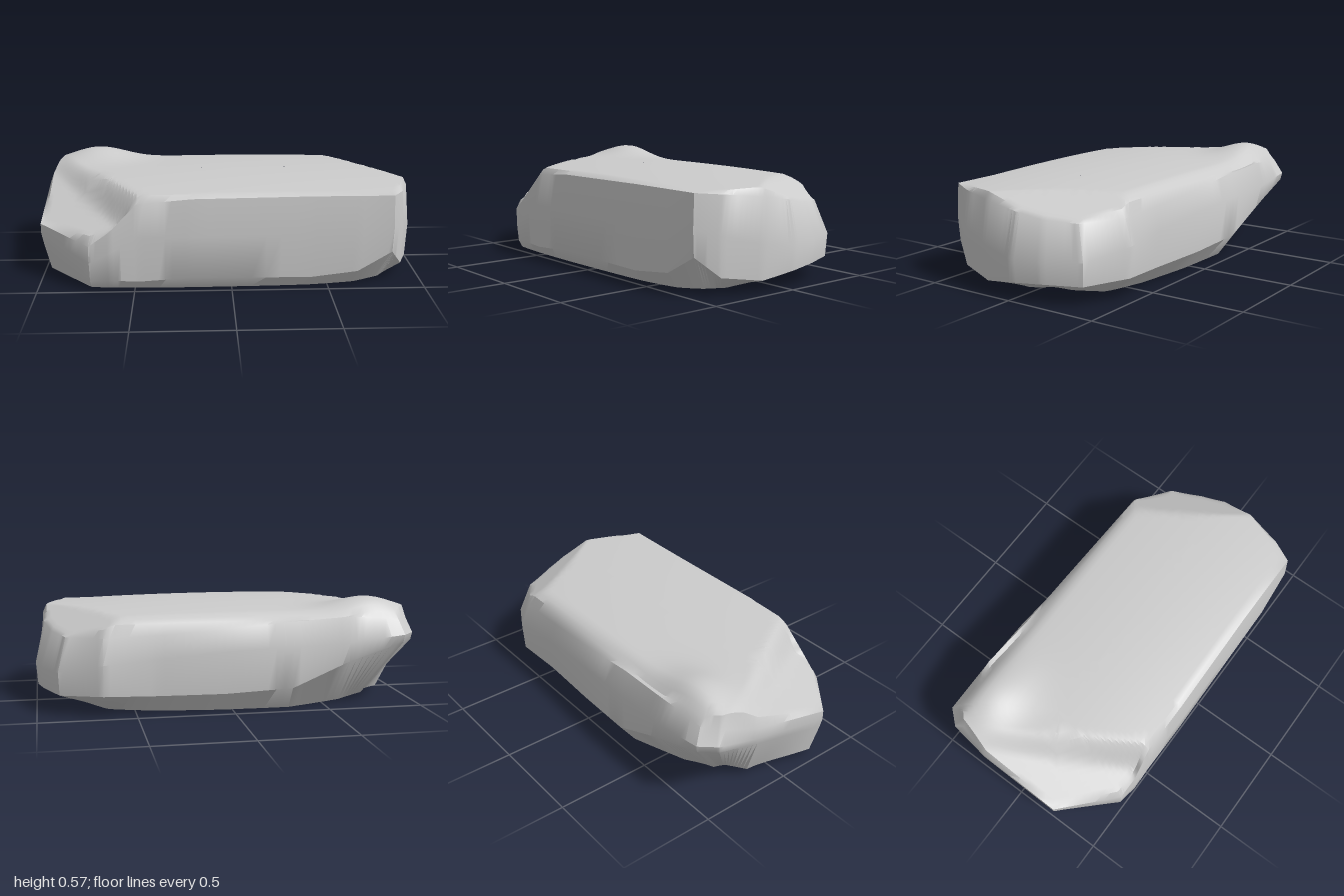
import * as THREE from 'three';
import { toCreasedNormals } from 'three/addons/utils/BufferGeometryUtils.js';

// Outline walked along the front, the right end, the back and the left end:
// x, z, inset of the base, top of lower bevel, top of side wall, rim height, inset of the rim
const COLUMNS = [
  [-1, 0.25, 0.05, 0.2, 0.25, 0.3, 0],
  [-0.73, 0.49, 0.03, 0.06, 0.16, 0.25, 0],
  [-0.62, 0.51, 0.05, 0.07, 0.22, 0.33, 0.01],
  [-0.48, 0.505, 0.05, 0.06, 0.3, 0.47, 0.02],
  [-0.2, 0.51, 0.06, 0.08, 0.3, 0.495, 0.02],
  [0.4, 0.5, 0.06, 0.07, 0.3, 0.5, 0.02],
  [0.65, 0.5, 0.08, 0.1, 0.3, 0.5, 0.02],
  [0.83, 0.49, 0.13, 0.2, 0.33, 0.5, 0.01],
  [0.9, 0.38, 0.1, 0.1, 0.3, 0.49, 0.02],
  [0.97, 0.17, 0.13, 0.07, 0.25, 0.47, 0.02],
  [1, -0.02, 0.14, 0.1, 0.22, 0.44, 0.05],
  [0.97, -0.18, 0.2, 0.11, 0.22, 0.41, 0.06],
  [0.89, -0.37, 0.22, 0.11, 0.23, 0.4, 0.07],
  [0.67, -0.49, 0.18, 0.12, 0.28, 0.41, 0.04],
  [0.4, -0.475, 0.11, 0.11, 0.3, 0.42, 0.02],
  [0.05, -0.49, 0.09, 0.11, 0.33, 0.44, 0.03],
  [-0.3, -0.51, 0.1, 0.13, 0.35, 0.47, 0.05],
  [-0.6, -0.515, 0.2, 0.26, 0.36, 0.49, 0.04],
  [-0.9, -0.5, 0.29, 0.35, 0.39, 0.47, 0.05],
  [-0.97, -0.42, 0.29, 0.35, 0.39, 0.46, 0.04],
  [-1, -0.2, 0.14, 0.31, 0.35, 0.41, 0],
];
const STEPS = 8;

// Height of the top: a shallow crown with a worn back edge and a bevelled back right corner,
// a knob at the back left, and a step down to a sloping ledge at the front left
function topHeight(x, z) {
  const { lerp, smoothstep } = THREE.MathUtils;
  const wornEdge = 0.05 * smoothstep(-z, 0.37, 0.49);
  const crown = 0.535 - 0.12 * (z - 0.05) ** 2 - 0.025 * x * x - wornEdge;
  const bevel = 0.48 - 0.57 * (0.83 * x - 0.56 * z - 0.74);
  const knob = 0.073 * Math.exp(-((x + 0.74) ** 2) / 0.045 - ((z + 0.34) ** 2) / 0.025);
  const ledge = 0.29 + 0.5 * (0.66 * (x + 1) - 0.75 * (z - 0.25));
  const pastStep = 0.857 * (x + 0.5) - 0.516 * (z - 0.48);
  const blend = smoothstep(pastStep, -0.07, 0.05);
  return lerp(Math.min(ledge, crown), Math.min(crown, bevel) + knob, blend);
}

// One vertical strip of points, from the middle of the base to the middle of the top
function strip([x, z, baseIn, yBevel, yWall, yRim, rimIn]) {
  const spineX = THREE.MathUtils.clamp(x, -0.6, 0.6);
  const reach = Math.hypot(x - spineX, z);
  const at = (inset, y) => {
    const k = 1 - inset / reach;
    return [spineX + (x - spineX) * k, y, z * k];
  };
  const points = [
    at(reach, 0.022),
    at(baseIn + 0.1, 0.012),
    at(baseIn, 0.008 + 0.035 * Math.abs(x) ** 3),
    at(0.01, yBevel),
    at(0, yWall),
    at(rimIn, yRim),
  ];
  for (const t of [0.05, 0.11, 0.17, 0.23, 0.29, 0.35, 0.42, 0.49, 0.56, 0.65, 0.75, 0.87, 1]) {
    const p = at(rimIn + (reach - rimIn) * t, 0);
    p[1] = topHeight(p[0], p[2]);
    points.push(p);
  }
  return points;
}

function slabGeometry() {
  const strips = [];
  COLUMNS.forEach((a, i) => {
    const b = COLUMNS[(i + 1) % COLUMNS.length];
    for (let s = 0; s < STEPS; s++) {
      strips.push(strip(a.map((v, k) => v + (b[k] - v) * s / STEPS)));
    }
  });

  const rows = strips[0].length;
  const index = [];
  strips.forEach((_, i) => {
    const j = (i + 1) % strips.length;
    for (let r = 0; r < rows - 1; r++) {
      const a = i * rows + r, b = j * rows + r;
      index.push(a, b, b + 1, a, b + 1, a + 1);
    }
  });

  const geometry = new THREE.BufferGeometry();
  geometry.setAttribute('position', new THREE.Float32BufferAttribute(strips.flat(2), 3));
  geometry.setIndex(index);
  return toCreasedNormals(geometry, 0.6);
}

export function createModel() {
  const group = new THREE.Group();
  group.name = 'rock';
  const slab = new THREE.Mesh(slabGeometry(), new THREE.MeshStandardMaterial({ color: 0xcccccc }));
  slab.name = 'stoneSlab';
  group.add(slab);
  return group;
}
